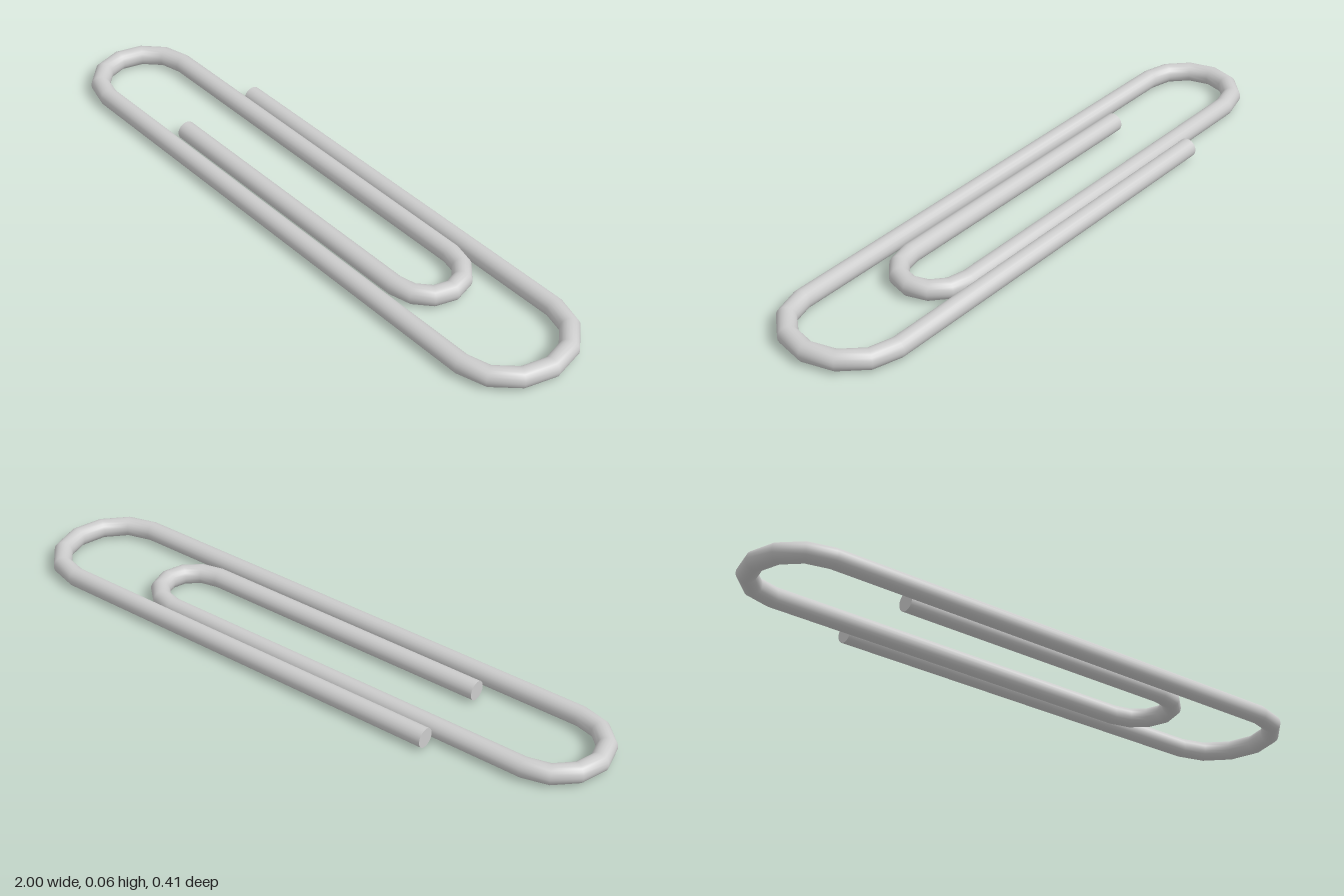
import * as THREE from 'three';

const RADIUS = 0.03;
const SIDES = 20;

// Curve that visits each corner exactly, with the tangent halving the angle there
class WirePath extends THREE.Curve {
  constructor(points) {
    super();
    this.points = points;
  }
  index(t) {
    return Math.round(t * (this.points.length - 1));
  }
  getPoint(t, target = new THREE.Vector3()) {
    return target.copy(this.points[this.index(t)]);
  }
  getPointAt(t, target) {
    return this.getPoint(t, target);
  }
  getTangentAt(t, target = new THREE.Vector3()) {
    const p = this.points, i = this.index(t), last = p.length - 1;
    const a = Math.max(i - 1, 0), b = Math.min(i + 1, last);
    const before = p[i].clone().sub(p[a]).normalize();
    const after = p[b].clone().sub(p[i]).normalize();
    return target.copy(before).add(after).normalize();
  }
}

// Half-round bend in six straight steps; side is +1 for the left end, -1 for the right
function bend(cx, cz, rx, rz, side) {
  const points = [];
  for (let i = 0; i <= 6; i++) {
    const a = -Math.PI / 2 + (i / 6) * Math.PI;
    points.push(new THREE.Vector3(cx + side * rx * Math.cos(a), RADIUS, cz + side * rz * Math.sin(a)));
  }
  return points;
}

export function createModel() {
  const group = new THREE.Group();
  group.name = 'paperClip';
  const material = new THREE.MeshStandardMaterial({ color: 0xcccccc });

  // Outer end, large bend, opposite bend, small inner bend, inner end
  const points = [
    new THREE.Vector3(-0.535, RADIUS, -0.178),
    ...bend(0.805, -0.001, 0.165, 0.177, 1),
    ...bend(-0.82, 0.0285, 0.15, 0.1475, -1),
    ...bend(0.45, -0.0115, 0.12, 0.1075, 1),
    new THREE.Vector3(-0.52, RADIUS, 0.096),
  ];

  const wire = new THREE.Mesh(
    new THREE.TubeGeometry(new WirePath(points), points.length - 1, RADIUS, SIDES, false),
    material
  );
  wire.name = 'wire';
  group.add(wire);

  // Flat cut ends, both facing -x
  [['outerEnd', points[0]], ['innerEnd', points[points.length - 1]]].forEach(([name, position]) => {
    const cap = new THREE.Mesh(new THREE.CircleGeometry(RADIUS, SIDES), material);
    cap.name = name;
    cap.rotation.y = -Math.PI / 2;
    cap.position.copy(position);
    group.add(cap);
  });

  return group;
}
